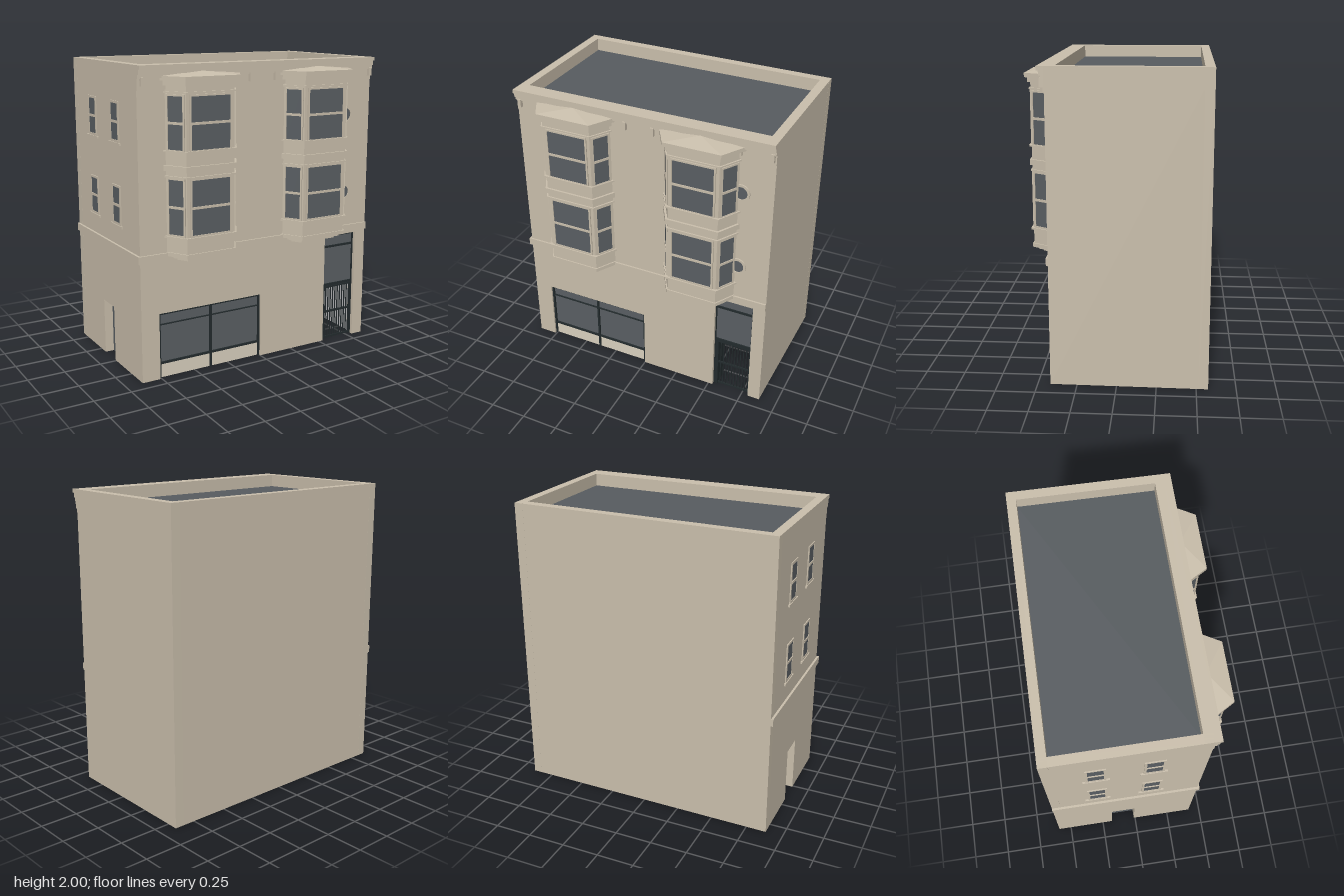
import * as THREE from 'three';

const mat = (name, color) => {
  const m = new THREE.MeshStandardMaterial({ color });
  m.name = name;
  return m;
};

export function createModel() {
  const stone = mat('stone', 0xcabfac);
  const cream = mat('cream panel', 0xdad1bf);
  const glass = mat('glass', 0x5a5f63);
  const roofing = mat('roofing', 0x575c60);
  const iron = mat('dark frame', 0x232b2d);
  const lining = mat('grey lining', 0xbcbcbe);

  const root = new THREE.Group();
  root.name = 'building';
  const H = 2, T = 0.06, FRONT = 0.42;

  const add = (parent, name, geo, m) => {
    const mesh = new THREE.Mesh(geo, m);
    mesh.name = name;
    parent.add(mesh);
    return mesh;
  };
  // Box given by its extents
  const box = (parent, name, m, x0, x1, y0, y1, z0, z1) => {
    const b = add(parent, name, new THREE.BoxGeometry(x1 - x0, y1 - y0, z1 - z0), m);
    b.position.set((x0 + x1) / 2, (y0 + y1) / 2, (z0 + z1) / 2);
    return b;
  };
  const group = (parent, name, x = 0, y = 0, z = 0, ry = 0) => {
    const g = new THREE.Group();
    g.name = name;
    g.position.set(x, y, z);
    g.rotation.y = ry;
    parent.add(g);
    return g;
  };
  // Plan outline [x, z] raised from y0 to y1
  const prism = (pts, y0, y1) => {
    const s = new THREE.Shape(pts.map(([x, z]) => new THREE.Vector2(x, -z)));
    return new THREE.ExtrudeGeometry(s, { depth: y1 - y0, bevelEnabled: false })
      .rotateX(-Math.PI / 2).translate(0, y0, 0);
  };
  // Wall elevation with notches [x0, x1, top] cut up from the ground
  const elevation = (x0, x1, top, notches, depth, z) => {
    const s = new THREE.Shape();
    s.moveTo(x0, 0);
    for (const [a, b, h] of notches) {
      s.lineTo(a, 0); s.lineTo(a, h); s.lineTo(b, h); s.lineTo(b, 0);
    }
    s.lineTo(x1, 0); s.lineTo(x1, top); s.lineTo(x0, top);
    return new THREE.ExtrudeGeometry(s, { depth, bevelEnabled: false }).translate(0, 0, z);
  };

  // Four walls around a slightly skewed plan, with a grey inner lining
  const plan = [[-0.885, FRONT], [0.88, FRONT], [0.895, -0.575], [-0.885, -0.59]];
  const walls = ['front', 'leftSide', 'back', 'rightSide'].map((name, i) => {
    const [px, pz] = plan[i], [qx, qz] = plan[(i + 1) % 4];
    const len = Math.hypot(qx - px, qz - pz);
    const g = group(root, name + 'Wall', px, 0, pz, Math.atan2(pz - qz, qx - px));
    const notches = i === 0 ? [[0.125, 0.885, 0.44], [1.415, 1.68, 0.77]]
      : i === 3 ? [[0.41, 0.58, 0.38]] : [];
    add(g, name + 'Masonry', elevation(0, len, H, notches, T, -T), stone);
    add(g, name + 'Lining', elevation(T, len - T, 1.9, notches, 0.004, -T - 0.004), lining);
    return g;
  });

  // Sunken flat roof and the ceiling below it
  const inner = [[-0.825, 0.36], [0.825, 0.36], [0.84, -0.52], [-0.825, -0.535]];
  add(root, 'roof', prism(inner, 1.9, 1.915), roofing);
  add(root, 'ceiling', prism(inner, 1.89, 1.898), lining);

  // Sash window facing +z, centred on its group
  const sash = (parent, w, h, bar, proud) => {
    box(parent, 'pane', glass, -w / 2, w / 2, -h / 2, h / 2, 0, 0.004);
    for (const s of [-1, 1]) {
      const x = s * (w + bar) / 2, y = s * (h + bar) / 2;
      box(parent, 'stile', stone, x - bar / 2, x + bar / 2, -h / 2 - bar, h / 2 + bar, 0, proud);
      box(parent, 'rail', stone, -w / 2, w / 2, y - bar / 2, y + bar / 2, 0, proud);
    }
    box(parent, 'meetingRail', stone, -w / 2, w / 2, -0.008, 0.008, 0, 0.009);
  };

  // Side wall: four windows, belt course and recessed door
  const side = walls[3];
  for (const x of [0.32, 0.68]) for (const y of [1.10, 1.635]) {
    const g = group(side, 'sideWindow', x, y, 0);
    sash(g, 0.1, 0.23, 0.015, 0.007);
    box(g, 'sill', stone, -0.085, 0.085, -0.145, -0.13, 0, 0.012);
  }
  box(side, 'sideBelt', stone, 0, 1.01, 0.785, 0.835, 0, 0.015);
  box(side, 'sideDoor', glass, 0.40, 0.59, 0, 0.39, -0.075, -T);

  // Front belt course, frieze, stepped cornice and brackets
  box(root, 'belt', stone, -0.9, 0.88, 0.785, 0.835, FRONT, FRONT + 0.012);
  box(root, 'frieze', stone, -0.885, 0.88, 1.85, 1.94, FRONT, FRONT + 0.006);
  [[1.92, 1.945, 0.02], [1.945, 1.975, 0.032], [1.975, 2, 0.046]].forEach(([a, b, d]) =>
    box(root, 'cornice', stone, -0.885, 0.88, a, b, FRONT, FRONT + d));
  for (const x of [-0.855, -0.1, 0.09, 0.66, 0.86])
    box(root, 'bracket', stone, x - 0.011, x + 0.011, 1.875, 1.93, FRONT, FRONT + 0.03);

  // Two-storey angled bays
  const K = Math.tan(Math.PI / 6), D = 0.13, F = 0.168;
  const bayPlan = (e) => {
    const hf = F + e * K, hb = hf + (D + e) * K;
    return [[-hb, 0], [-hf, D + e], [hf, D + e], [hb, 0]];
  };
  const bands = [ // bottom, top, projection
    [0.78, 0.797, -0.055], [0.797, 0.815, -0.025], [0.815, 0.84, 0.008],
    [0.84, 1.905, 0], [0.932, 0.945, 0.015], [1.315, 1.325, 0.01],
    [1.355, 1.39, 0.014], [1.472, 1.483, 0.015], [1.83, 1.84, 0.01],
    [1.875, 1.905, 0.018], [1.905, 1.932, 0.035],
  ];
  for (const cx of [-0.455, 0.412]) {
    const bay = group(root, 'bay', cx, 0, FRONT);
    for (const [a, b, e] of bands) add(bay, 'bayBand', prism(bayPlan(e), a, b), stone);
    // Hipped cap rising to the wall
    const [a, b, c, d] = bayPlan(0.035).map(([x, z]) => [x, 1.932, z]);
    const top = [0, 1.955, 0.03];
    const cap = new THREE.BufferGeometry();
    cap.setAttribute('position', new THREE.Float32BufferAttribute(
      [a, b, top, b, c, top, c, d, top].flat(), 3));
    cap.computeVertexNormals();
    add(bay, 'bayCap', cap, stone);
    for (const [y, h] of [[1.13, 0.345], [1.65, 0.325]]) {
      sash(group(bay, 'bayFrontWindow', 0, y, D), 0.27, h, 0.012, 0.008);
      for (const s of [-1, 1])
        sash(group(bay, 'baySideWindow', s * (F + D * K / 2), y, D / 2, s * Math.PI / 3),
          0.106, h, 0.012, 0.008);
    }
  }

  // Round windows beside the bay
  for (const y of [1.075, 1.615]) {
    const g = group(root, 'roundWindow', 0.672, y, FRONT);
    add(g, 'roundPane', new THREE.CircleGeometry(0.045, 24).translate(0, 0, 0.004), glass);
    const ring = new THREE.Shape().absarc(0, 0, 0.058, 0, Math.PI * 2);
    ring.holes.push(new THREE.Path().absarc(0, 0, 0.043, 0, Math.PI * 2, true));
    add(g, 'roundFrame', new THREE.ExtrudeGeometry(ring,
      { depth: 0.01, bevelEnabled: false, curveSegments: 24 }), stone);
  }

  // Shopfront
  const shop = group(root, 'shopfront', 0, 0, FRONT - 0.03);
  box(shop, 'shopGlass', glass, -0.76, 0, 0.1, 0.44, -0.01, 0.005);
  box(shop, 'shopBase', cream, -0.76, 0, 0, 0.1, -0.01, 0.008);
  for (const x of [-0.754, -0.38, -0.006])
    box(shop, 'shopPost', iron, x - 0.007, x + 0.007, 0, 0.44, -0.012, 0.018);
  for (const [y, t] of [[0.1, 0.007], [0.36, 0.003], [0.433, 0.007]])
    box(shop, 'shopRail', iron, -0.76, 0, y - t, y + t, -0.012, 0.016);

  // Entrance: glazed upper part over a barred gate
  const door = group(root, 'entrance', 0, 0, FRONT - 0.035);
  box(door, 'entranceGlass', glass, 0.53, 0.795, 0.4, 0.77, -0.01, 0.005);
  for (const [y, t] of [[0.405, 0.008], [0.685, 0.007], [0.764, 0.006]])
    box(door, 'entranceRail', iron, 0.53, 0.795, y - t, y + t, -0.012, 0.014);
  for (const x of [0.533, 0.791])
    box(door, 'entranceJamb', iron, x - 0.004, x + 0.004, 0, 0.77, -0.012, 0.014);
  box(door, 'gatePost', iron, 0.53, 0.558, 0, 0.4, -0.1, 0.012);
  for (const y of [0.01, 0.2, 0.385])
    box(door, 'gateRail', iron, 0.555, 0.795, y - 0.006, y + 0.006, -0.004, 0.008);
  for (let i = 0; i < 11; i++) {
    const x = 0.575 + i * 0.0205;
    box(door, 'gateBar', iron, x - 0.003, x + 0.003, 0, 0.4, -0.002, 0.005);
  }
  return root;
}
